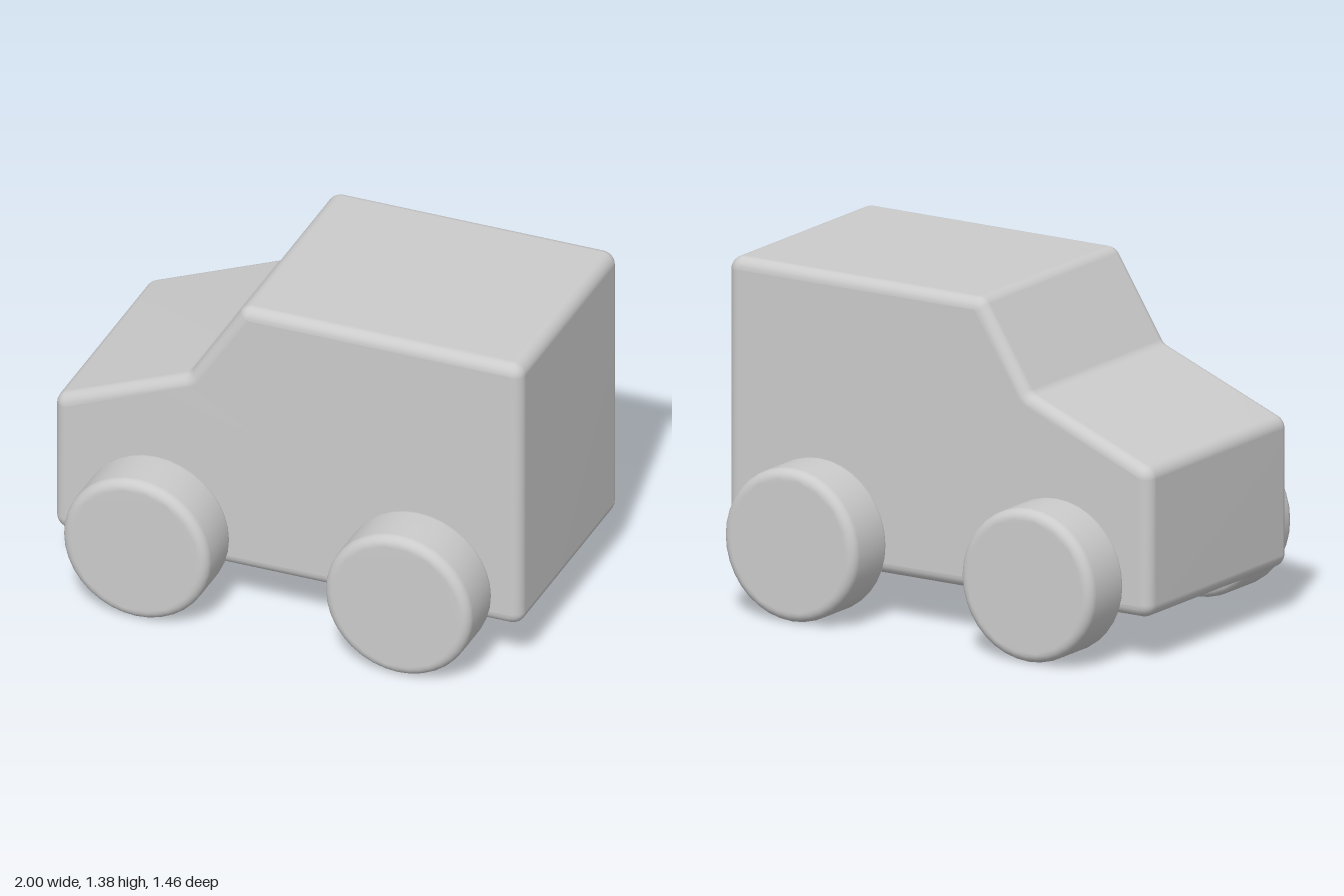
import * as THREE from 'three';
import { mergeVertices } from 'three/addons/utils/BufferGeometryUtils.js';

const material = new THREE.MeshStandardMaterial({ color: 0xcccccc });

// Closed counter-clockwise outline with a circular arc at every corner
function roundedOutline(corners, radius) {
  const shape = new THREE.Shape();
  const n = corners.length;
  corners.forEach(([x, y], i) => {
    const p = new THREE.Vector2(x, y);
    const toPrev = new THREE.Vector2(...corners[(i + n - 1) % n]).sub(p).normalize();
    const toNext = new THREE.Vector2(...corners[(i + 1) % n]).sub(p).normalize();
    const half = Math.acos(toPrev.dot(toNext)) / 2;
    const cut = radius / Math.tan(half);
    const centre = toPrev.clone().add(toNext).setLength(radius / Math.sin(half)).add(p);
    const start = toPrev.clone().multiplyScalar(cut).add(p).sub(centre);
    const end = toNext.clone().multiplyScalar(cut).add(p).sub(centre);
    const concave = toNext.cross(toPrev) < 0;
    shape.absarc(centre.x, centre.y, radius, start.angle(), end.angle(), concave);
  });
  shape.closePath();
  return shape;
}

// Slab centred on z = 0 with rounded rims and area-weighted smooth normals
function softSlab(shape, depth, rim, curveSegments) {
  const geometry = new THREE.ExtrudeGeometry(shape, {
    depth: depth - 2 * rim,
    bevelThickness: rim,
    bevelSize: rim,
    bevelOffset: -rim,
    bevelSegments: 6,
    curveSegments,
  });
  geometry.translate(0, 0, rim - depth / 2);
  geometry.deleteAttribute('uv');
  geometry.deleteAttribute('normal');
  const smooth = mergeVertices(geometry, 1e-5);
  smooth.computeVertexNormals();
  return smooth;
}

export function createModel() {
  const car = new THREE.Group();
  car.name = 'toyCar';

  // Body: side profile with sloping bonnet and windscreen
  const profile = [
    [-1, 0.19], [1, 0.19], [1, 1.385], [-0.198, 1.385], [-0.426, 1.025], [-1, 0.795],
  ];
  const body = new THREE.Mesh(softSlab(roundedOutline(profile, 0.055), 1, 0.048, 4), material);
  body.name = 'body';
  car.add(body);

  // Four solid wheels, sunk slightly into the body sides
  const radius = 0.313;
  const disc = new THREE.Shape().absarc(0, 0, radius, 0, Math.PI * 2);
  const wheelGeometry = softSlab(disc, 0.255, 0.04, 18);
  for (const x of [-0.56, 0.56]) {
    for (const side of [-1, 1]) {
      const wheel = new THREE.Mesh(wheelGeometry, material);
      wheel.name = `${x < 0 ? 'bonnet' : 'tail'}Wheel${side > 0 ? 'Near' : 'Far'}`;
      wheel.position.set(x, radius, side * 0.6);
      car.add(wheel);
    }
  }
  return car;
}
